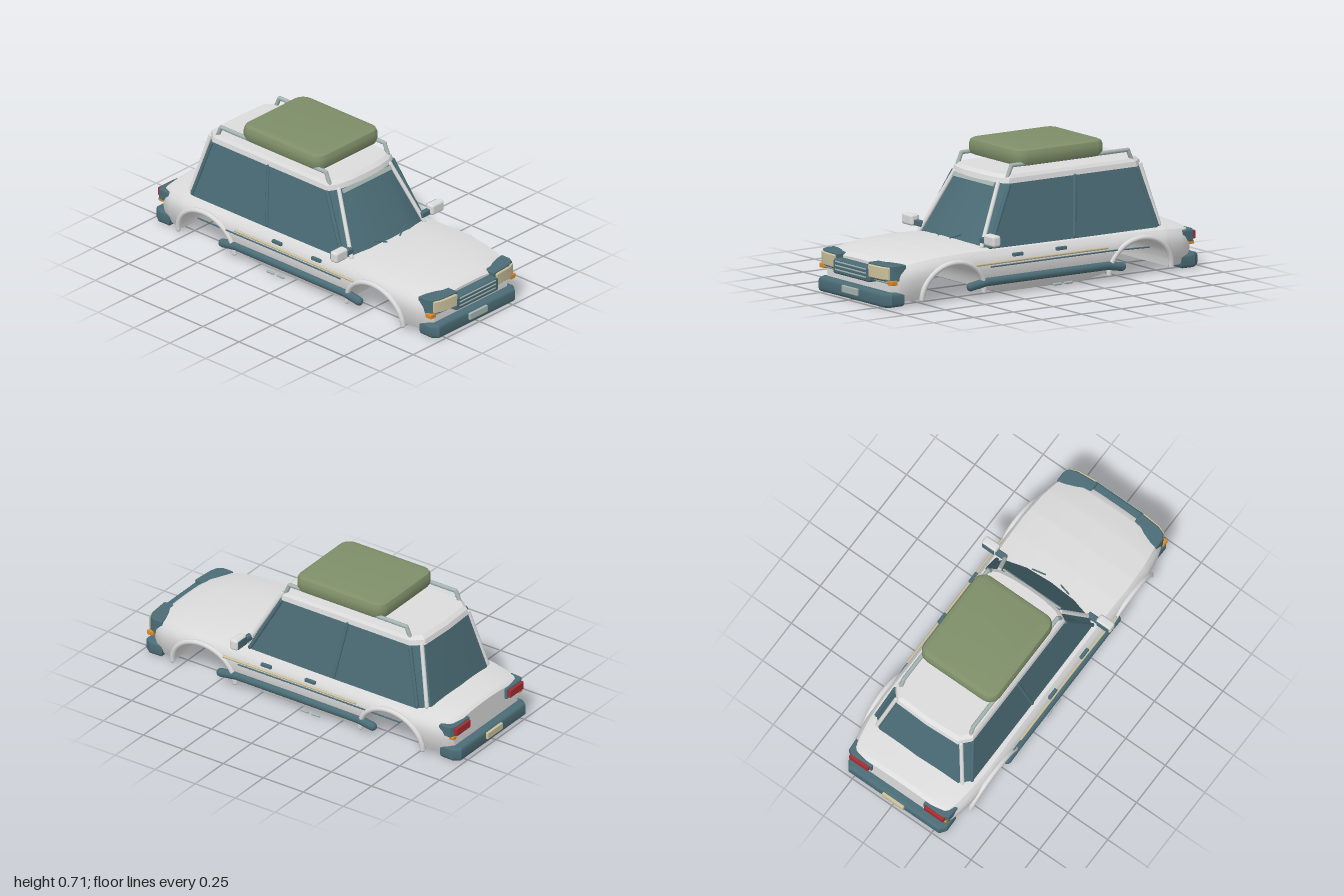
import * as THREE from 'three';
import { mergeGeometries, toCreasedNormals } from 'three/addons/utils/BufferGeometryUtils.js';
import { RoundedBoxGeometry } from 'three/addons/geometries/RoundedBoxGeometry.js';

const mat = (name, color) => Object.assign(new THREE.MeshStandardMaterial({ color }), { name });
const V = (x, y, z) => new THREE.Vector3(x, y, z);

// Linear lookup in a table of [key, value], keys ascending
function lookup(table, k) {
  if (k <= table[0][0]) return table[0][1];
  for (let i = 1; i < table.length; i++) {
    const [a, va] = table[i - 1], [b, vb] = table[i];
    if (k <= b) return va + (vb - va) * (k - a) / (b - a);
  }
  return table[table.length - 1][1];
}

// Skin closed rings (counter-clockwise seen from the far end) and cap both ends
function loft(rings, crease = 0.55) {
  const n = rings[0].length, pos = [], idx = [];
  rings.forEach(r => r.forEach(p => pos.push(p.x, p.y, p.z)));
  for (let i = 0; i < rings.length - 1; i++) for (let j = 0; j < n; j++) {
    const a = i * n + j, b = i * n + (j + 1) % n;
    idx.push(a, b, b + n, a, b + n, a + n);
  }
  [0, rings.length - 1].forEach(e => {
    const c = rings[e].reduce((s, p) => s.add(p), V(0, 0, 0)).divideScalar(n);
    const ci = pos.length / 3;
    pos.push(c.x, c.y, c.z);
    for (let j = 0; j < n; j++) {
      const a = e * n + j, b = e * n + (j + 1) % n;
      if (e) idx.push(ci, a, b); else idx.push(ci, b, a);
    }
  });
  const g = new THREE.BufferGeometry();
  g.setAttribute('position', new THREE.Float32BufferAttribute(pos, 3));
  g.setIndex(idx);
  return toCreasedNormals(g, crease);
}

// Round bar through a list of points
function rod(points, r) {
  const parts = [];
  points.forEach((p, i) => {
    parts.push(new THREE.SphereGeometry(r, 10, 6).translate(p.x, p.y, p.z));
    if (!i) return;
    const q = points[i - 1], d = p.clone().sub(q), m = p.clone().add(q).multiplyScalar(0.5);
    const c = new THREE.CylinderGeometry(r, r, d.length(), 10);
    c.applyQuaternion(new THREE.Quaternion().setFromUnitVectors(V(0, 1, 0), d.normalize()));
    parts.push(c.translate(m.x, m.y, m.z));
  });
  return mergeGeometries(parts);
}

// Extrude a plan outline of [x, z] points from y0 to y1 with bevelled rims
function plan(pts, y0, y1, bevel = 0.005, segs = 1) {
  const shape = new THREE.Shape(pts.map(([x, z]) => new THREE.Vector2(x, -z)));
  const g = new THREE.ExtrudeGeometry(shape, {
    depth: y1 - y0 - 2 * bevel, bevelThickness: bevel, bevelSize: bevel, bevelOffset: -bevel, bevelSegments: segs,
  });
  return toCreasedNormals(g.rotateX(-Math.PI / 2).translate(0, y0 + bevel, 0), 0.6);
}

const box = (w, h, d, x, y, z, r = 0.004) => new RoundedBoxGeometry(w, h, d, 2, r).translate(x, y, z);

// Body rules along z
const WIDTH = [[-0.938, 0.285], [-0.91, 0.315], [-0.85, 0.335], [-0.75, 0.351], [-0.6, 0.36], [-0.4, 0.355], [0, 0.353], [0.4, 0.355], [0.6, 0.36], [0.75, 0.351], [0.85, 0.335], [0.905, 0.315], [0.938, 0.28]];
const TOP = [[-0.938, 0.218], [-0.92, 0.232], [-0.77, 0.249], [-0.5, 0.257], [0.3, 0.262], [0.5, 0.268], [0.65, 0.265], [0.8, 0.251], [0.91, 0.23], [0.938, 0.212]];
const ARCH_Z = 0.587, ARCH_R = 0.195;
const shoulder = z => lookup(TOP, z) - 0.024;
function halfWidth(y, z) {
  const t = y / shoulder(z);
  return lookup(WIDTH, z) * (t < 0.7 ? 0.86 + 0.14 * Math.sin(t / 0.7 * Math.PI / 2) : 1 - 0.08 * ((t - 0.7) / 0.3) ** 2);
}
function bottom(z) {
  const a = Math.abs(z), dz = a - ARCH_Z;
  const base = a > ARCH_Z ? 0.028 : 0.015 + 0.9 * Math.max(0, a - 0.2) ** 2;
  return Math.abs(dz) < ARCH_R ? Math.max(base, 0.015 + Math.sqrt(ARCH_R ** 2 - dz * dz)) : base;
}
function bodyRing(z) {
  const yb = bottom(z), ys = shoulder(z), half = [];
  for (let i = 0; i <= 9; i++) {
    const y = yb + (ys - yb) * i / 9;
    half.push(V(halfWidth(y, z), y, z));
  }
  const xs = half[9].x;
  for (let i = 1; i <= 8; i++) {
    const u = 1 - i / 8;
    half.push(V(xs * u, ys + 0.024 * (1 - u ** 2.4), z));
  }
  return [...half, ...half.slice(0, -1).reverse().map(p => V(-p.x, p.y, p.z))];
}

// Cabin outlines, front centre to rear centre
const BASE = [[0, 0.4], [0.15, 0.39], [0.275, 0.352], [0.305, 0.315], [0.305, -0.715], [0.25, -0.77], [0, -0.78]];
const HEAD = [[0, 0.212], [0.1, 0.209], [0.19, 0.195], [0.243, 0.165], [0.243, -0.63], [0.19, -0.69], [0, -0.698]];
const cabinRing = (half, y, s = 1) => [...half, ...half.slice(1, -1).reverse().map(([x, z]) => [-x, z])]
  .map(([x, z]) => V(x * s, y, (z + 0.243) * s - 0.243));

export function createModel() {
  const paint = mat('body paint', 0xdcdcdc), teal = mat('teal trim and glass', 0x4b6c76);
  const green = mat('luggage green', 0x7f8f69), tan = mat('lens tan', 0xcbc19c);
  const metal = mat('pale metal', 0xa5b5b1), red = mat('tail red', 0xa52d32), orange = mat('indicator orange', 0xd98a2b);
  const car = new THREE.Group();
  car.name = 'car';
  const add = (name, geo, m) => {
    const mesh = new THREE.Mesh(geo, m);
    mesh.name = name;
    car.add(mesh);
  };

  // Lower body with wheel arches cut through the floor
  const zs = [...WIDTH, ...TOP].map(r => r[0]).concat([0.1, 0.2, 0.25, 0.3, 0.35].flatMap(z => [z, -z]));
  for (let i = 0; i <= 24; i++) {
    const z = ARCH_Z + ARCH_R * Math.cos(Math.PI * i / 24);
    zs.push(z, -z);
  }
  const stations = [...new Set(zs.map(z => Math.round(z * 1e4) / 1e4))].sort((a, b) => a - b);
  add('body', loft(stations.map(bodyRing)), paint);

  // Cabin and roof
  add('cabinGlass', loft([cabinRing(BASE, 0.238), cabinRing(HEAD, 0.556)], 0.3), teal);
  add('roof', loft([cabinRing(HEAD, 0.554, 1.012), cabinRing(HEAD, 0.58, 0.995), cabinRing(HEAD, 0.597, 0.95)], 0.4), paint);
  add('sunStrip', new THREE.BoxGeometry(0.36, 0.022, 0.008).rotateX(-0.55).translate(0, 0.545, 0.216), metal);

  // Luggage box
  const bag = [];
  [[0.178, 0.042], [-0.178, 0.042], [-0.178, -0.392], [0.178, -0.392]].forEach(([x, z], q) => {
    for (let i = 0; i <= 4; i++) {
      const a = (q + i / 4) * Math.PI / 2;
      bag.push([x + 0.062 * Math.cos(a), z + 0.062 * Math.sin(a)]);
    }
  });
  add('luggageBox', plan(bag, 0.628, 0.718, 0.028, 2), green);

  // Bumpers and plates
  const bumper = s => plan([[-0.31, 0.87], [0.31, 0.87], [0.312, 0.95], [0.285, 0.985], [-0.285, 0.985], [-0.312, 0.95]].map(([x, z]) => [x, z * s]), 0.003, 0.08, 0.018, 3);
  add('frontBumper', bumper(1), teal);
  add('rearBumper', bumper(-1), teal);
  add('frontPlate', box(0.134, 0.037, 0.016, 0, 0.052, 0.99), metal);
  add('rearPlate', box(0.134, 0.037, 0.016, 0, 0.052, -0.99), tan);

  // Grille with slats and the bar below the lamps
  add('grille', box(0.32, 0.08, 0.06, 0, 0.157, 0.957, 0.012), teal);
  [0.141, 0.162, 0.183].forEach(y => add('grilleSlat', box(0.27, 0.007, 0.008, 0, y, 0.987, 0.002), metal));
  add('lampBar', rod([V(-0.285, 0.131, 0.945), V(0.285, 0.131, 0.945)], 0.008), metal);

  for (const s of [1, -1]) {
    const side = pts => pts.map(([x, z]) => [x * s, z]);
    const P = (x, y, z) => V(x * s, y, z);

    // Front and rear lamps
    add('headlightHousing', plan(side([[0.138, 0.91], [0.138, 0.975], [0.255, 0.966], [0.298, 0.95], [0.314, 0.92], [0.314, 0.865], [0.27, 0.87]]), 0.137, 0.222), teal);
    add('headlight', plan(side([[0.149, 0.95], [0.149, 0.986], [0.255, 0.977], [0.296, 0.96], [0.296, 0.935]]), 0.146, 0.212, 0.004), tan);
    add('frontIndicator', box(0.04, 0.025, 0.04, 0.3 * s, 0.132, 0.938, 0.005), orange);
    add('tailHousing', plan(side([[0.165, -0.91], [0.165, -0.952], [0.285, -0.954], [0.316, -0.937], [0.32, -0.87], [0.28, -0.87]]), 0.143, 0.205), teal);
    add('tailLight', box(0.12, 0.044, 0.024, 0.237 * s, 0.173, -0.955, 0.005), red);
    add('rearIndicator', box(0.03, 0.018, 0.03, 0.292 * s, 0.136, -0.937, 0.004), orange);

    // Pillars
    add('frontPillar', rod([P(0.274, 0.25, 0.362), P(0.194, 0.556, 0.2)], 0.011), paint);
    add('rearPillar', rod([P(0.268, 0.245, -0.757), P(0.206, 0.556, -0.682)], 0.011), paint);
    add('doorFramePillar', rod([P(0.302, 0.25, 0.325), P(0.247, 0.546, 0.17)], 0.011), teal);
    add('rearFramePillar', rod([P(0.302, 0.25, -0.72), P(0.246, 0.546, -0.637)], 0.01), teal);
    add('middlePillar', rod([P(0.304, 0.25, -0.2), P(0.245, 0.552, -0.245)], 0.009), teal);

    // Roof rail
    add('roofRail', rod([P(0.22, 0.585, 0.16), P(0.22, 0.642, 0.135), P(0.22, 0.642, -0.595), P(0.22, 0.585, -0.62)], 0.011), metal);

    // Mirror and wiper
    add('mirror', box(0.092, 0.06, 0.05, 0.362 * s, 0.298, 0.357, 0.014), paint);
    add('mirrorGlass', box(0.074, 0.044, 0.006, 0.362 * s, 0.298, 0.331, 0.002), teal);
    add('mirrorArm', box(0.065, 0.03, 0.03, 0.292 * s, 0.286, 0.35, 0.005), teal);
    add('wiper', rod([P(0.05, 0.268, 0.4), P(0.115, 0.293, 0.378)], 0.004), teal);

    // Wheel arch trims, leaning inwards toward the ground
    for (const e of [1, -1]) {
      const arc = [];
      for (let i = 0; i <= 24; i++) {
        const a = Math.PI * i / 24;
        arc.push(P(0.34 + 0.018 * Math.sin(a), 0.035 + 0.171 * Math.sin(a), e * ARCH_Z + 0.195 * Math.cos(a)));
      }
      const tube = new THREE.TubeGeometry(new THREE.CatmullRomCurve3(arc), 40, 0.014, 10);
      const ends = [arc[0], arc[24]].map(p => new THREE.SphereGeometry(0.014, 10, 6).translate(p.x, p.y, p.z));
      add('wheelArchTrim', mergeGeometries([tube, ...ends]), paint);
    }

    // Side stripe, lower line, handles, sill tube and step pegs
    const line = (y, z0, z1) => [0, 1, 2, 3, 4].map(i => {
      const z = z0 + (z1 - z0) * i / 4;
      return P(halfWidth(y, z) + 0.003, y, z);
    });
    add('sideStripe', rod(line(0.178, 0.45, -0.37), 0.007), tan);
    add('lowerLine', rod([...line(0.16, 0.36, -0.4), P(0.345, 0.15, -0.64)], 0.004), teal);
    [0.188, -0.085].forEach(z => add('doorHandle', box(0.018, 0.018, 0.064, (halfWidth(0.207, z) + 0.006) * s, 0.207, z), teal));
    add('sillTube', rod([P(0.343, 0.067, 0.478), P(0.343, 0.082, 0.38), P(0.343, 0.082, -0.38), P(0.343, 0.067, -0.47)], 0.023), teal);
    [-0.055, -0.125].forEach(z => add('stepPeg', rod([P(0.357, 0.025, z - 0.02), P(0.357, 0.025, z + 0.02)], 0.007), metal));
  }
  return car;
}
